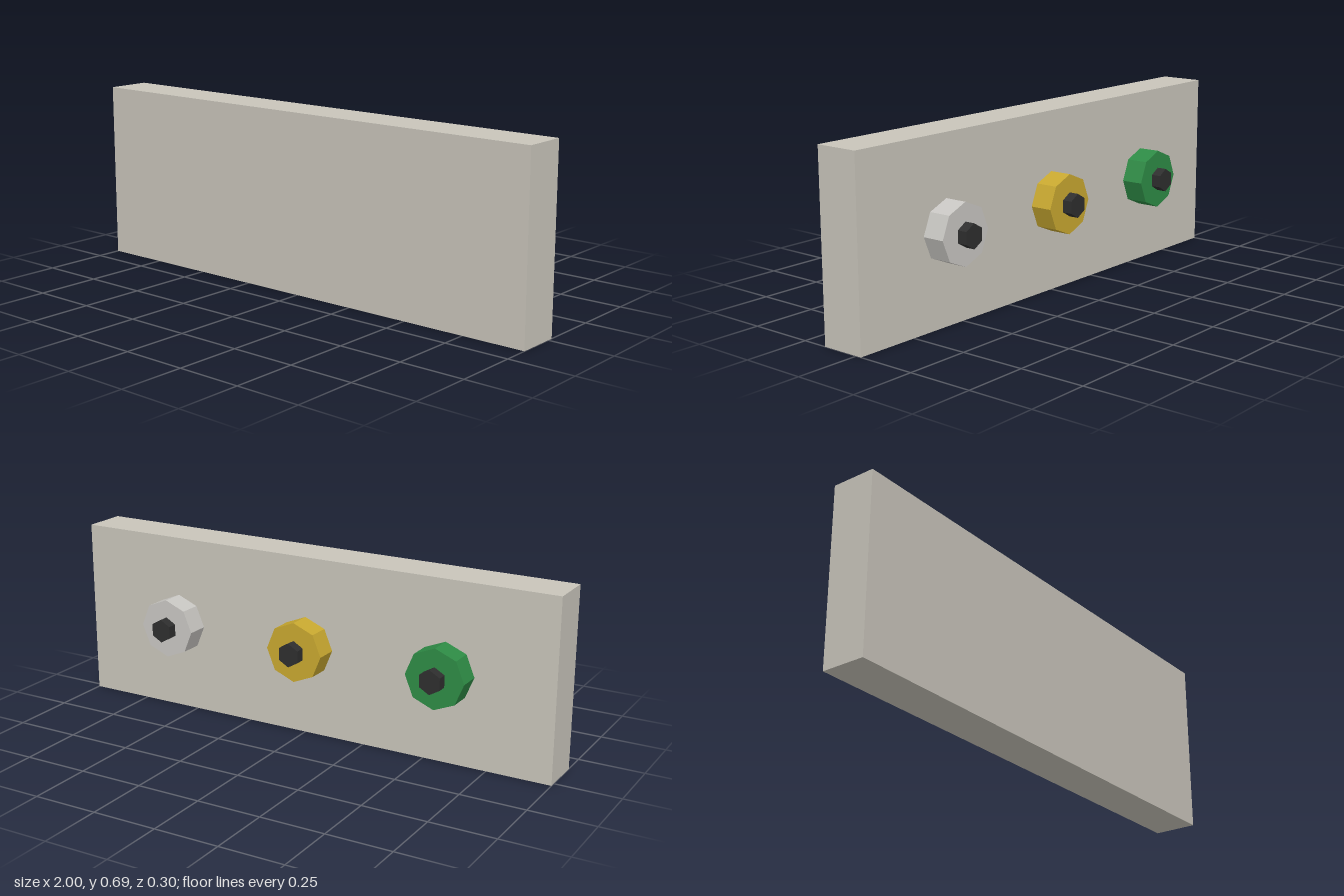
import * as THREE from 'three';

const paint = (name, color) => {
  const m = new THREE.MeshStandardMaterial({ color });
  m.name = name;
  return m;
};

// Flat-sided disc lying along z, from zFront back to zBack
function prism(name, radius, sides, zFront, zBack, material) {
  const g = new THREE.CylinderGeometry(radius, radius, zFront - zBack, sides)
    .rotateX(Math.PI / 2)
    .toNonIndexed();
  g.computeVertexNormals();
  const mesh = new THREE.Mesh(g, material);
  mesh.name = name;
  mesh.position.z = (zFront + zBack) / 2;
  return mesh;
}

export function createModel() {
  const model = new THREE.Group();
  model.name = 'buttonPanel';

  const stone = paint('warm grey', 0xc8c4ba);
  const black = paint('black', 0x2e2e2e);
  const knobs = [
    ['greenKnob', -0.577, paint('green', 0x2e8b45)],
    ['yellowKnob', 0, paint('yellow', 0xc8a830)],
    ['whiteKnob', 0.577, paint('light grey', 0xc8c6c2)],
  ];

  // Backing board
  const height = 0.693, front = 0.15, back = -0.022;
  const board = new THREE.Mesh(new THREE.BoxGeometry(2, height, front - back), stone);
  board.name = 'board';
  board.position.set(0, height / 2, (front + back) / 2);
  model.add(board);

  // Three octagonal knobs, each with a hexagonal black tip
  for (const [name, x, material] of knobs) {
    const knob = new THREE.Group();
    knob.name = name;
    knob.position.set(x, height / 2, 0);
    knob.add(prism('knobBody', 0.1155, 8, back, -0.11, material));
    knob.add(prism('knobTip', 0.046, 6, -0.11, -0.149, black));
    model.add(knob);
  }
  return model;
}
